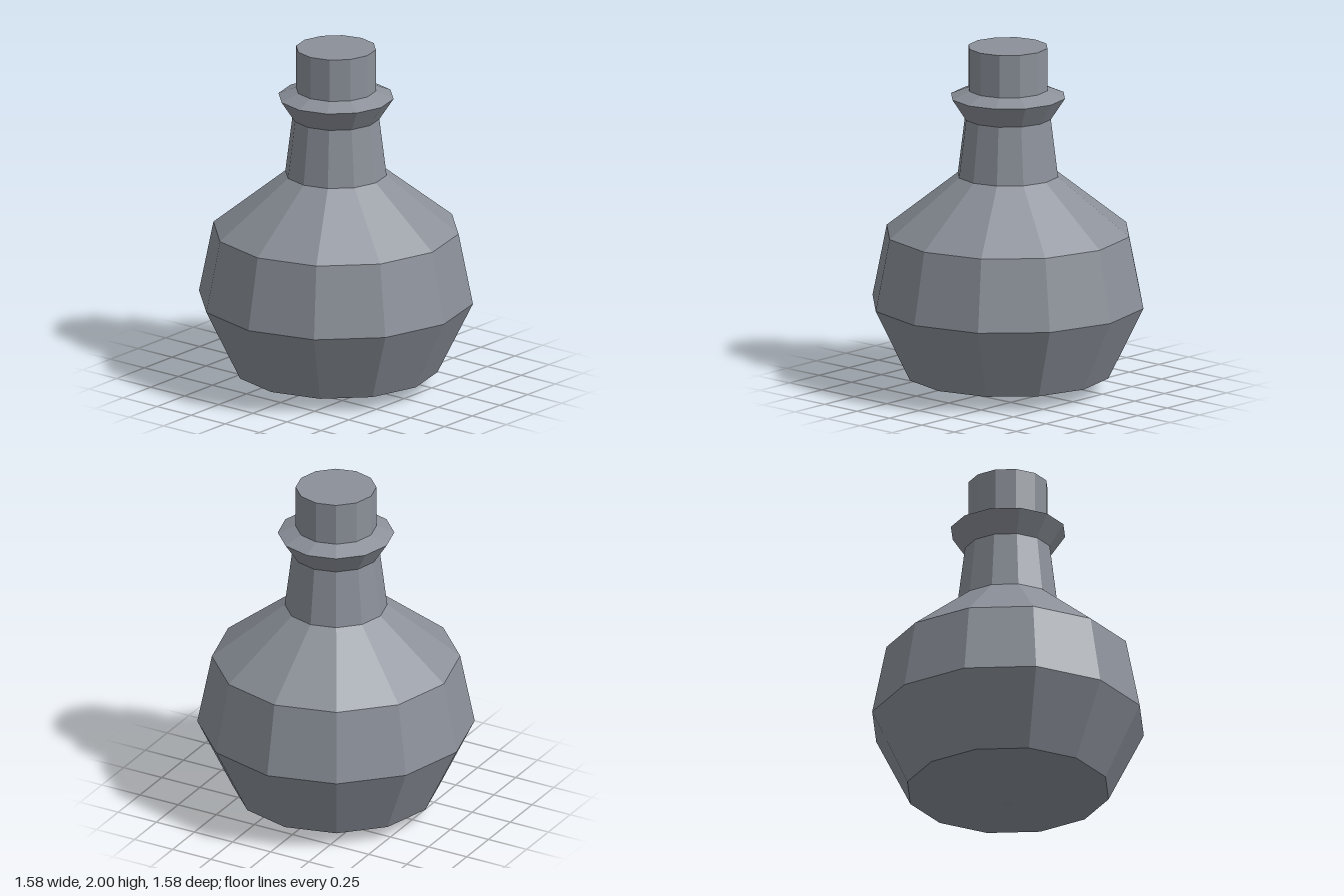
import * as THREE from 'three';

const SIDES = 12;

export function createModel() {
  const group = new THREE.Group();
  group.name = 'flask';
  const glass = new THREE.MeshStandardMaterial({ color: 0x8b9099, flatShading: true });
  glass.name = 'slate grey';

  // Faceted ring-by-ring surface from [radius, height] pairs, bottom to top
  const addLathe = (name, profile) => {
    const points = profile.map(([r, y]) => new THREE.Vector2(r, y));
    const mesh = new THREE.Mesh(new THREE.LatheGeometry(points, SIDES), glass);
    mesh.name = name;
    group.add(mesh);
  };

  // Shallow pointed underside, round belly and sloping shoulder
  addLathe('belly', [[0, 0], [0.03, 0], [0.585, 0.085], [0.79, 0.505], [0.707, 0.92], [0.292, 1.25]]);
  // Tapered neck
  addLathe('neck', [[0.292, 1.25], [0.25, 1.585]]);
  // Flared lip
  addLathe('lip', [[0.25, 1.585], [0.332, 1.71], [0.23, 1.752]]);
  // Stopper with a flat top
  addLathe('stopper', [[0.23, 1.752], [0.23, 2], [0, 2]]);

  return group;
}
